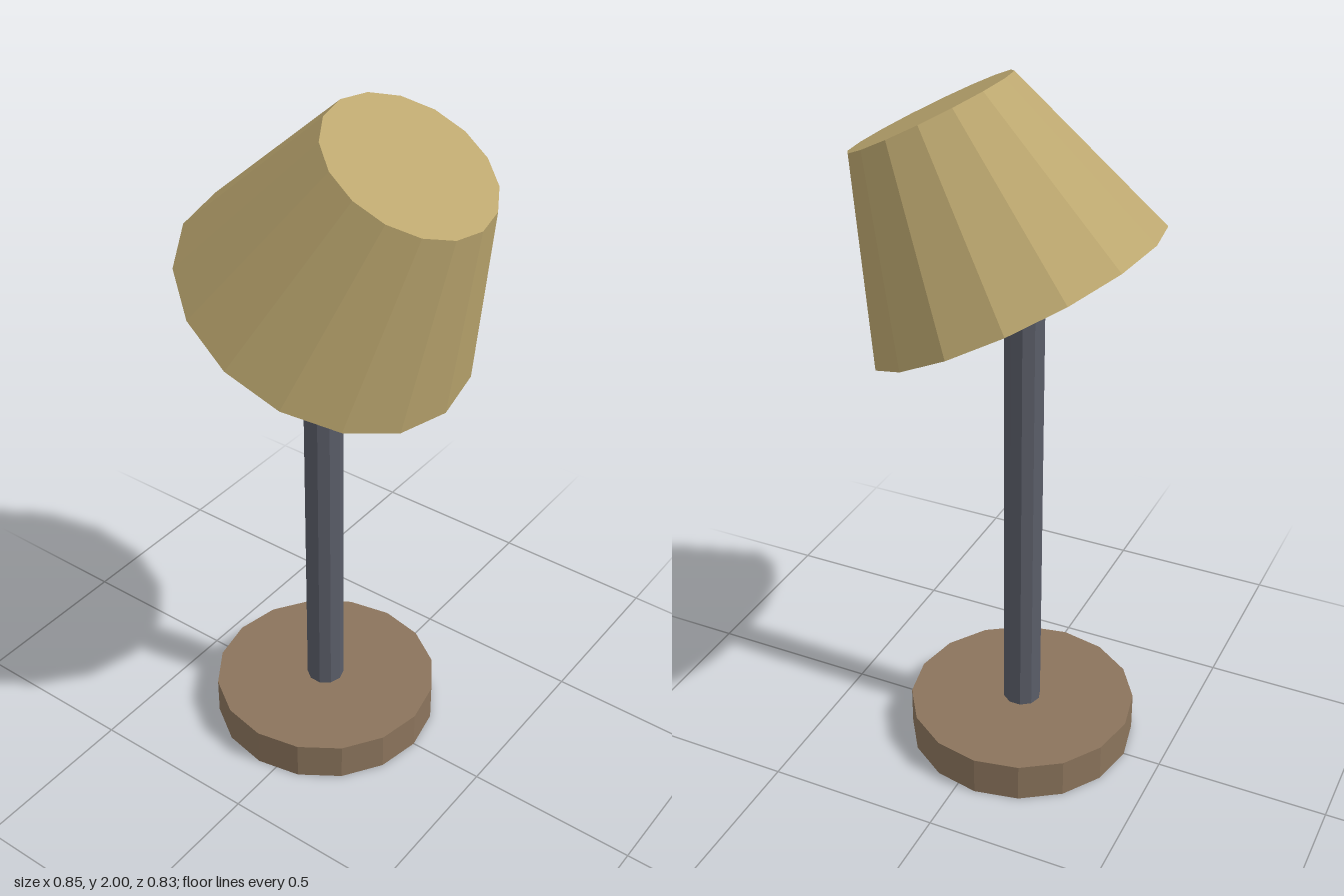
import * as THREE from 'three';

// Faceted cylinder or cone as a named part
function drum(name, color, rTop, rBottom, height, sides, y, z) {
  const material = new THREE.MeshStandardMaterial({ color, flatShading: true });
  const mesh = new THREE.Mesh(new THREE.CylinderGeometry(rTop, rBottom, height, sides), material);
  mesh.name = name;
  mesh.position.set(0, y, z);
  return mesh;
}

export function createModel() {
  const lamp = new THREE.Group();
  lamp.name = 'tableLamp';

  const standZ = -0.057;
  const baseHeight = 0.115;
  const poleTop = 1.6;

  // Round foot
  const base = drum('base', 0x8b745c, 0.332, 0.332, baseHeight, 16, baseHeight / 2, standZ);

  // Ten-sided pole, ending inside the shade
  const poleHeight = poleTop - baseHeight;
  const pole = drum('pole', 0x5a5d68, 0.055, 0.055, poleHeight, 10, baseHeight + poleHeight / 2, standZ);

  // Closed conical shade, tipped forward
  const shade = drum('shade', 0xbca76f, 0.236, 0.424, 0.517, 16, 1.66, 0.085);
  shade.rotation.x = 0.495;

  lamp.add(base, pole, shade);
  return lamp;
}
